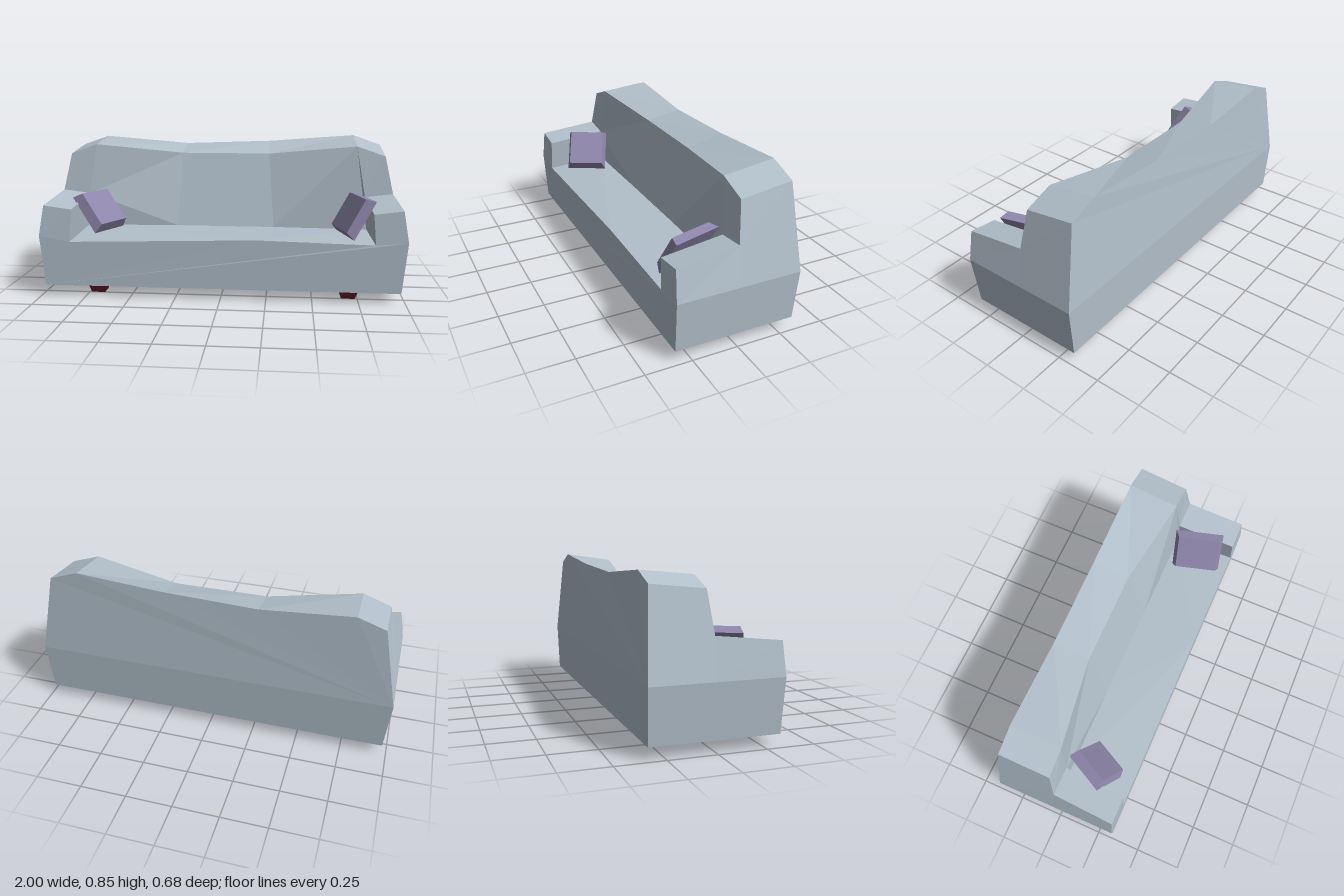
import * as THREE from 'three';

function material(name, color) {
  const m = new THREE.MeshStandardMaterial({ color });
  m.name = name;
  return m;
}

// Flat-faced geometry from outward polygons, each fanned from its first corner
function fromFaces(faces) {
  const pos = [];
  for (const f of faces)
    for (let i = 1; i < f.length - 1; i++) pos.push(...f[0], ...f[i], ...f[i + 1]);
  const g = new THREE.BufferGeometry();
  g.setAttribute('position', new THREE.Float32BufferAttribute(pos, 3));
  g.computeVertexNormals();
  return g;
}

// Corners of one end of the sofa; s = -1 or 1
function endCorners(s) {
  return {
    baseFront: [s * 0.975, 0.06, 0.33], baseBack: [s * 0.975, 0.06, -0.333],
    midFront: [s, 0.34, 0.34], midCentre: [s, 0.34, -0.01], midBack: [s, 0.34, -0.34],
    armOutFront: [s * 0.97, 0.51, 0.332], armOutBack: [s * 0.957, 0.545, -0.006],
    armInFront: [s * 0.815, 0.49, 0.332], armInBack: [s * 0.8, 0.525, -0.008],
    seatFront: [s * 0.83, s < 0 ? 0.31 : 0.325, 0.337], seatBack: [s * 0.815, 0.335, -0.01],
    seatInner: [s * 0.28, 0.34, -0.01],
  };
}

function sofaGeometry() {
  const L = endCorners(-1), R = endCorners(1);
  const seatMid = [0.2, 0.34, 0.337];
  // Wavy top of the backrest: x, front height, front z, back height
  const crest = [
    [-0.91, 0.757, -0.03, 0.785], [-0.76, 0.812, -0.03, 0.838], [-0.26, 0.758, -0.11, 0.797],
    [0.25, 0.758, -0.11, 0.815], [0.75, 0.812, -0.03, 0.853], [0.91, 0.757, -0.03, 0.797],
  ];
  const T = crest.map(([x, y, z]) => [x, y, z]);
  const B = crest.map(([x, , , y]) => [x, y, -0.31]);
  const faces = [
    [L.baseBack, R.baseBack, R.baseFront, L.baseFront], // underside
    [L.baseFront, R.baseFront, R.midFront, R.seatFront, seatMid, L.seatFront, L.midFront], // front
    [seatMid, R.seatFront, R.seatBack, R.seatInner, L.seatInner, L.seatBack, L.seatFront], // seat
    [L.seatInner, R.seatInner, T[3], T[2]], // middle of backrest
    [L.midBack, ...B, R.midBack], // rear, upper
    [L.baseBack, L.midBack, R.midBack, R.baseBack], // rear, lower
  ];
  for (let i = 0; i < 5; i++) faces.push([T[i], T[i + 1], B[i + 1], B[i]]);
  // Arm, side and backrest wing at each end
  for (const [c, t, b] of [[L, T, B], [R, [...T].reverse(), [...B].reverse()]]) {
    const end = [
      [c.armInBack, c.seatBack, c.seatInner, t[2], t[1]],
      [c.armOutBack, c.armInBack, t[1], t[0]],
      [c.armOutFront, c.armInFront, c.armInBack, c.armOutBack],
      [c.seatFront, c.seatBack, c.armInBack, c.armInFront],
      [c.midFront, c.seatFront, c.armInFront, c.armOutFront],
      [c.baseBack, c.baseFront, c.midFront, c.midCentre, c.midBack],
      [c.midCentre, c.midFront, c.armOutFront, c.armOutBack],
      [c.midBack, c.midCentre, c.armOutBack, t[0], b[0]],
    ];
    faces.push(...(c === R ? end.map((f) => f.reverse()) : end));
  }
  return fromFaces(faces);
}

// Square cushion whose front face is slightly smaller than its back
function cushionGeometry(w, h, d) {
  const g = new THREE.BoxGeometry(w, h, d).toNonIndexed();
  const p = g.attributes.position;
  for (let i = 0; i < p.count; i++)
    if (p.getZ(i) > 0) p.setXY(i, p.getX(i) * 0.86, p.getY(i) * 0.86);
  g.computeVertexNormals();
  return g;
}

export function createModel() {
  const group = new THREE.Group();
  group.name = 'sofa';
  const fabric = material('pale blue fabric', 0xb2c0cb);
  const purple = material('purple fabric', 0x8f87ac);
  const wood = material('dark red wood', 0x5e1d28);
  for (const m of [fabric, purple, wood]) m.flatShading = true;

  const add = (name, geometry, mat, position) => {
    const mesh = new THREE.Mesh(geometry, mat);
    mesh.name = name;
    mesh.position.set(...position);
    group.add(mesh);
    return mesh;
  };

  add('sofaBody', sofaGeometry(), fabric, [0, 0, 0]);

  // Cushions leaning against the arms
  const right = add('rightCushion', cushionGeometry(0.24, 0.245, 0.06), purple, [-0.7, 0.457, 0.13]);
  right.rotation.set(THREE.MathUtils.degToRad(-40), THREE.MathUtils.degToRad(63), 0, 'YXZ');
  const left = add('leftCushion', cushionGeometry(0.283, 0.24, 0.052), purple, [0.717, 0.455, 0.147]);
  left.rotation.set(THREE.MathUtils.degToRad(-30), THREE.MathUtils.degToRad(-74), 0, 'YXZ');

  // Tapered square feet
  const foot = new THREE.CylinderGeometry(0.058 * Math.SQRT2, 0.037 * Math.SQRT2, 0.06, 4);
  foot.rotateY(Math.PI / 4);
  for (const x of [-0.7, 0.7])
    for (const z of [0.212, -0.222])
      add(`${z > 0 ? 'front' : 'back'}${x > 0 ? 'Left' : 'Right'}Foot`, foot, wood, [x, 0.03, z]);

  return group;
}
